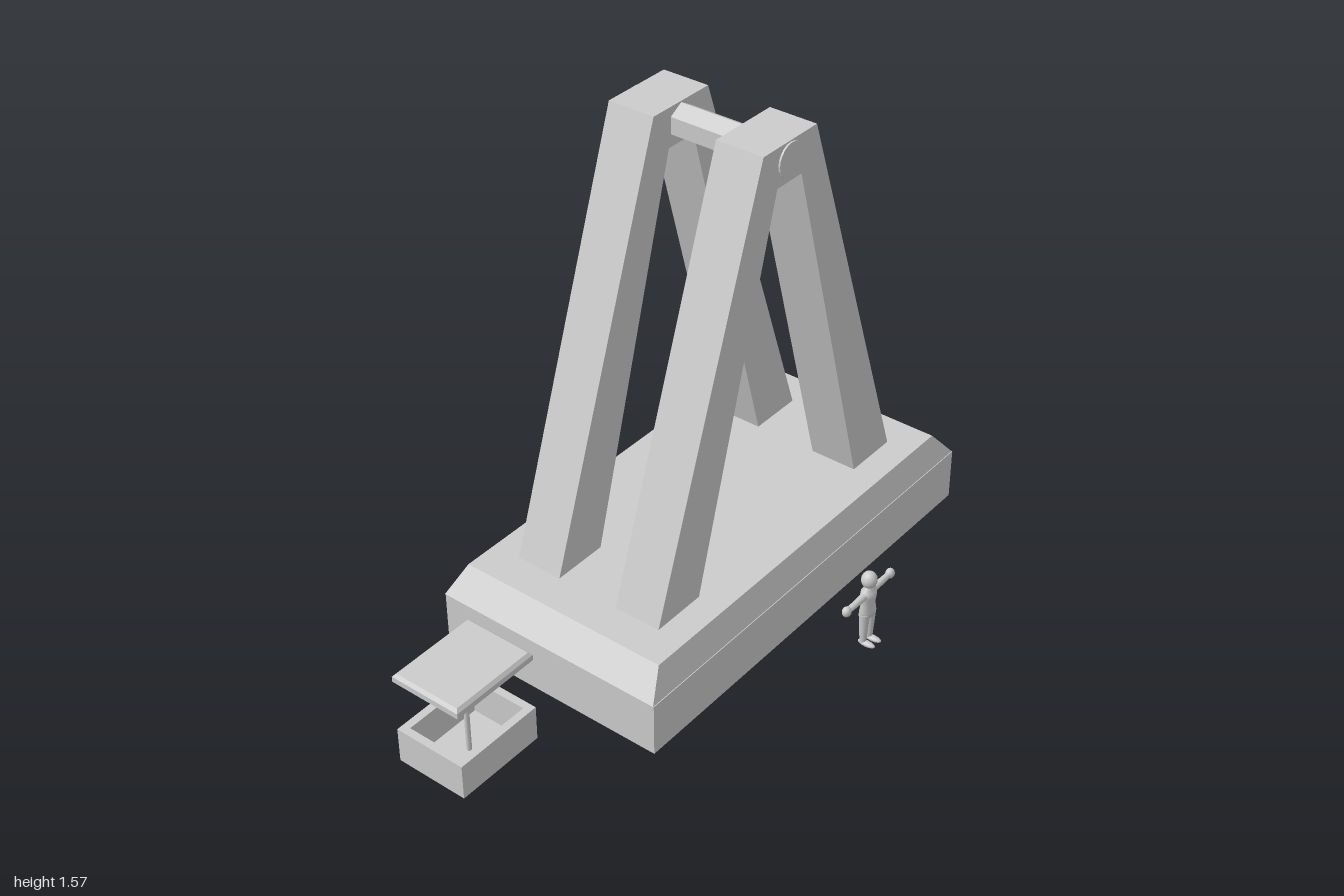
import * as THREE from 'three';

const grey = new THREE.MeshStandardMaterial({ color: 0xcccccc });
const flat = new THREE.MeshStandardMaterial({ color: 0xcccccc, flatShading: true });

function add(parent, name, geometry, x = 0, y = 0, z = 0, material = flat) {
  const mesh = new THREE.Mesh(geometry, material);
  mesh.name = name;
  mesh.position.set(x, y, z);
  parent.add(mesh);
  return mesh;
}

// Box whose top and bottom rectangles differ, standing on y = 0
function taperedBox(bottomW, bottomD, topW, topD, height) {
  const g = new THREE.BoxGeometry(1, height, 1).translate(0, height / 2, 0);
  const p = g.attributes.position;
  for (let i = 0; i < p.count; i++) {
    const top = p.getY(i) > height / 2;
    p.setX(i, p.getX(i) * (top ? topW : bottomW));
    p.setZ(i, p.getZ(i) * (top ? topD : bottomD));
  }
  g.computeVertexNormals();
  return g;
}

function polygon(points) {
  return new THREE.Shape(points.map(([x, y]) => new THREE.Vector2(x, y)));
}

function createBase() {
  const base = new THREE.Group();
  base.name = 'base';
  add(base, 'plinth', new THREE.BoxGeometry(1.52, 0.175, 0.785), 0.24, 0.0875, -0.1175);
  add(base, 'bevelledDeck', taperedBox(1.52, 0.785, 1.38, 0.715, 0.085), 0.24, 0.175, -0.12);
  return base;
}

function createSupports() {
  const supports = new THREE.Group();
  supports.name = 'supports';
  // Two-legged frame outline, open between the legs
  const outline = polygon([
    [-0.575, 0.26], [-0.39, 0.26], [-0.055, 1.447], [0.055, 1.447],
    [0.39, 0.26], [0.575, 0.26], [0.12, 1.57], [-0.12, 1.57],
  ]);
  const frame = new THREE.ExtrudeGeometry(outline, { depth: 0.157, bevelEnabled: false });
  add(supports, 'frontFrame', frame, 0.24, 0, -0.013);
  add(supports, 'backFrame', frame, 0.24, 0, -0.382);

  // Faceted axle between the frames, with round ends just proud of them
  const bar = new THREE.CylinderGeometry(0.053, 0.053, 0.24, 6).rotateX(Math.PI / 2);
  add(supports, 'axle', bar, 0.24, 1.513, -0.118);
  const end = new THREE.CylinderGeometry(0.053, 0.053, 0.163, 20).rotateX(Math.PI / 2);
  add(supports, 'frontAxleEnd', end, 0.24, 1.513, 0.068);
  add(supports, 'backAxleEnd', end, 0.24, 1.513, -0.307);
  return supports;
}

function createCabin() {
  const cabin = new THREE.Group();
  cabin.name = 'passengerCabin';
  cabin.position.set(-0.85, 0, -0.12);
  add(cabin, 'cabinBottom', taperedBox(0.19, 0.14, 0.3, 0.24, 0.034));

  // Open tub walls
  const wall = polygon([[-0.15, -0.12], [0.15, -0.12], [0.15, 0.12], [-0.15, 0.12]]);
  wall.holes.push(polygon([[-0.125, -0.095], [-0.125, 0.095], [0.125, 0.095], [0.125, -0.095]]));
  const walls = new THREE.ExtrudeGeometry(wall, { depth: 0.116, bevelEnabled: false });
  add(cabin, 'cabinWalls', walls.rotateX(-Math.PI / 2), 0, 0.034, 0);

  add(cabin, 'roofPost', new THREE.CylinderGeometry(0.008, 0.008, 0.3, 10), 0, 0.18, 0, grey);
  add(cabin, 'roofSlab', new THREE.BoxGeometry(0.3, 0.018, 0.24), 0, 0.333, 0);
  add(cabin, 'roofBevel', taperedBox(0.3, 0.24, 0.282, 0.222, 0.01), 0, 0.342, 0);
  return cabin;
}

function createFigure() {
  const figure = new THREE.Group();
  figure.name = 'scaleFigure';
  figure.position.set(0.24, 0, 0.47);

  // Torso turned from a profile and flattened front to back
  const profile = [[0, 0.105], [0.028, 0.108], [0.032, 0.125], [0.027, 0.15], [0.032, 0.18],
    [0.03, 0.198], [0.012, 0.208], [0.011, 0.222]].map(([r, y]) => new THREE.Vector2(r, y));
  const torso = new THREE.LatheGeometry(profile, 16).scale(1, 1, 0.68);
  add(figure, 'torso', torso, 0, 0, 0, grey);
  const head = new THREE.SphereGeometry(0.026, 16, 12).scale(0.95, 1.08, 0.95);
  add(figure, 'head', head, 0, 0.237, 0, grey);

  for (const [side, s] of [['left', 1], ['right', -1]]) {
    const leg = new THREE.CylinderGeometry(0.017, 0.010, 0.11, 12);
    add(figure, side + 'Leg', leg, s * 0.016, 0.063, 0, grey);
    const foot = new THREE.SphereGeometry(1, 12, 8).scale(0.012, 0.009, 0.03);
    add(figure, side + 'Foot', foot, s * 0.016, 0.009, 0.013, grey);
    const arm = new THREE.CylinderGeometry(0.009, 0.012, 0.09, 12).rotateZ(-s * Math.PI / 2);
    add(figure, side + 'Arm', arm, s * 0.068, 0.188, 0, grey);
    const hand = new THREE.SphereGeometry(1, 12, 8).scale(0.016, 0.017, 0.014);
    add(figure, side + 'Hand', hand, s * 0.112, 0.189, 0, grey);
  }
  return figure;
}

export function createModel() {
  const model = new THREE.Group();
  model.name = 'rideModel';
  model.add(createBase(), createSupports(), createCabin(), createFigure());
  return model;
}
